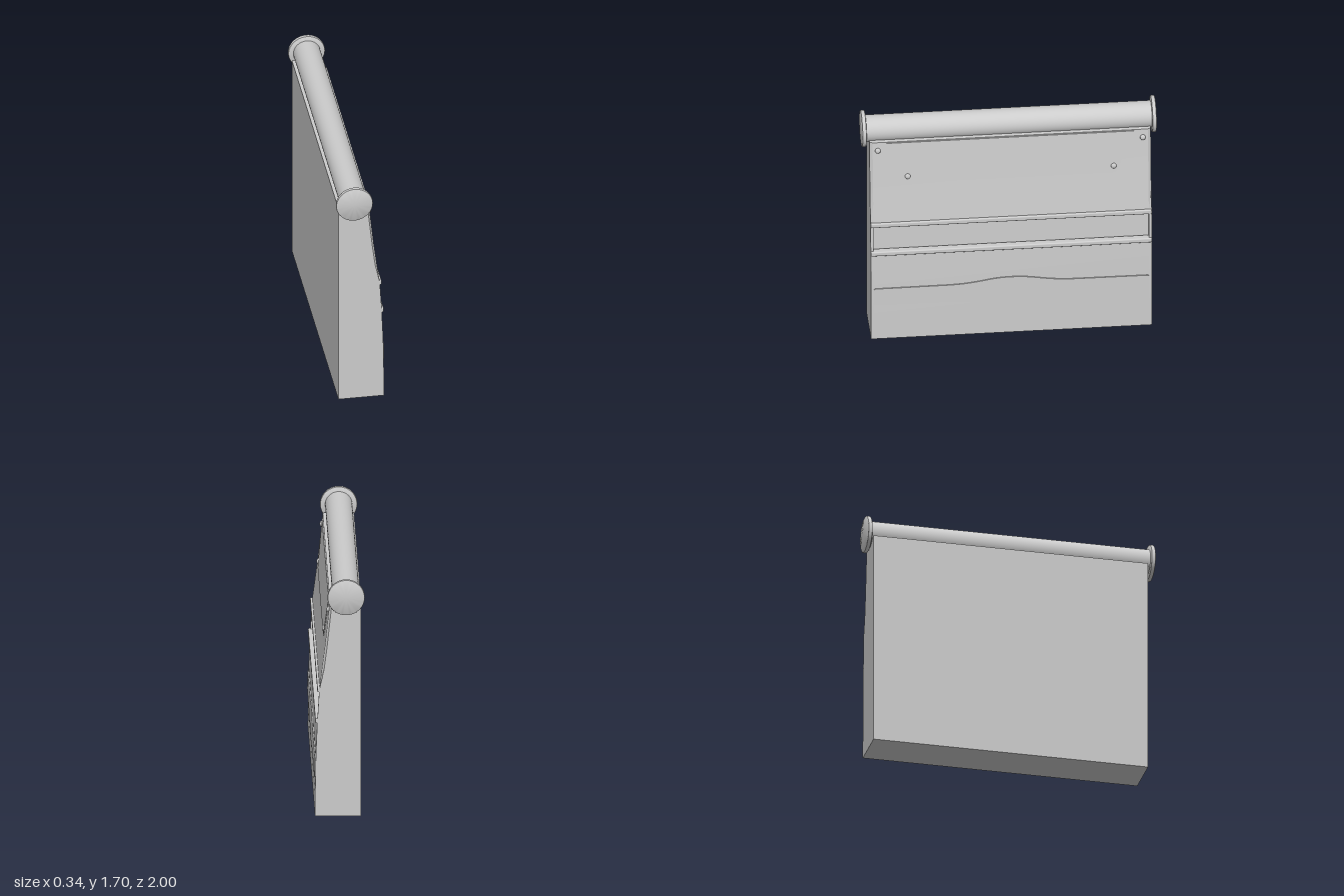
import * as THREE from 'three';
import { toCreasedNormals } from 'three/addons/utils/BufferGeometryUtils.js';
import { RoundedBoxGeometry } from 'three/addons/geometries/RoundedBoxGeometry.js';

// Curve of the front face, as [x, y] from bottom to top
const FRONT = [[0.163, 0], [0.162, 0.15], [0.157, 0.44], [0.147, 0.68], [0.134, 0.9],
  [0.115, 1.05], [0.096, 1.2], [0.062, 1.52]];
const BACK = -0.15, Z0 = -0.96, Z1 = 0.95, MID = (Z0 + Z1) / 2;

function frontX(y) {
  let i = 0;
  while (i < FRONT.length - 2 && y > FRONT[i + 1][1]) i++;
  const [xa, ya] = FRONT[i], [xb, yb] = FRONT[i + 1];
  return xa + (xb - xa) * (y - ya) / (yb - ya);
}

export function createModel() {
  const group = new THREE.Group();
  const material = new THREE.MeshStandardMaterial({ color: 0xcccccc, roughness: 0.7 });

  const add = (name, geometry, x = 0, y = 0, z = 0) => {
    const mesh = new THREE.Mesh(geometry, material);
    mesh.name = name;
    mesh.position.set(x, y, z);
    group.add(mesh);
    return mesh;
  };

  // Side profile of the case, with or without the pocket between the rails
  const profile = (pocket) => {
    const pts = [[BACK, 0], ...FRONT.slice(0, 4)];
    if (pocket) pts.push([0.105, 0.68], [0.095, 0.9]);
    pts.push(...FRONT.slice(4), [BACK, 1.52]);
    return new THREE.Shape(pts.map(([x, y]) => new THREE.Vector2(x, y)));
  };
  const slab = (name, za, zb, pocket, outer) => {
    const geo = new THREE.ExtrudeGeometry(profile(pocket), { depth: zb - za, bevelEnabled: false });
    geo.translate(0, 0, za);
    if (outer !== undefined) {
      // Ease the outer front edge of the upper half
      const p = geo.attributes.position;
      for (let i = 0; i < p.count; i++) {
        if (p.getX(i) > 0 && p.getY(i) > 0.95 && Math.abs(p.getZ(i) - outer) < 1e-4) {
          p.setX(i, p.getX(i) - 0.014);
        }
      }
    }
    add(name, toCreasedNormals(geo, 0.6));
  };
  slab('caseBody', Z0 + 0.02, Z1 - 0.02, true);
  slab('caseLeftCheek', Z1 - 0.02, Z1, false, Z1);
  slab('caseRightCheek', Z0, Z0 + 0.02, false, Z0);

  // Rounded rails above and below the pocket
  [['upperRail', 0.9, 0.147], ['lowerRail', 0.68, 0.161]].forEach(([name, y, x]) =>
    add(name, new RoundedBoxGeometry(0.05, 0.034, Z1 - Z0, 3, 0.008), x - 0.025, y, MID));

  // Thin plate that follows the slope of the front face
  const plate = (name, shape, thickness) => {
    const geo = new THREE.ExtrudeGeometry(shape, { depth: 1, bevelEnabled: false, curveSegments: 12 });
    const p = geo.attributes.position;
    for (let i = 0; i < p.count; i++) {
      const u = p.getX(i), y = p.getY(i), lift = p.getZ(i) > 0.5 ? thickness : -0.01;
      p.setXYZ(i, frontX(y) + lift, y, MID - u);
    }
    add(name, toCreasedNormals(geo, 0.6));
  };

  // Tapered flap hanging below the roller
  const flap = new THREE.Shape();
  flap.moveTo(-0.715, 1.21);
  flap.lineTo(0.715, 1.21);
  flap.lineTo(0.84, 1.515);
  flap.lineTo(-0.84, 1.515);
  plate('flap', flap, 0.007);

  // Long nameplate with a swollen middle and rounded ends
  const w = 0.935, r = 0.015;
  const band = new THREE.Shape();
  band.moveTo(-w + r, 0.27);
  band.lineTo(-0.42, 0.268);
  band.bezierCurveTo(-0.2, 0.264, -0.17, 0.228, 0, 0.228);
  band.bezierCurveTo(0.17, 0.228, 0.2, 0.264, 0.42, 0.268);
  band.lineTo(w - r, 0.27);
  band.quadraticCurveTo(w, 0.27, w, 0.27 + r);
  band.lineTo(w, 0.403 - r);
  band.quadraticCurveTo(w, 0.403, w - r, 0.403);
  band.lineTo(0.42, 0.405);
  band.bezierCurveTo(0.2, 0.41, 0.17, 0.446, 0, 0.446);
  band.bezierCurveTo(-0.17, 0.446, -0.2, 0.41, -0.42, 0.405);
  band.lineTo(-w + r, 0.403);
  band.quadraticCurveTo(-w, 0.403, -w, 0.403 - r);
  band.lineTo(-w, 0.27 + r);
  band.quadraticCurveTo(-w, 0.27, -w + r, 0.27);
  plate('nameplate', band, 0.007);

  // Domed rivets, mirrored left and right
  const dome = new THREE.LatheGeometry([[0.019, -0.01], [0.019, 0.006], [0.016, 0.011], [0.009, 0.014], [0, 0.015]]
    .map(([x, y]) => new THREE.Vector2(x, y)), 20);
  for (const s of [1, -1]) {
    for (const [name, y, z] of [['outerRivet', 1.46, 0.9], ['innerRivet', 1.26, 0.7]]) {
      add(name, dome, frontX(y) + (z < 0.8 ? 0.005 : 0), y, MID + s * z).rotation.z = -Math.PI / 2 + 0.11;
    }
  }

  // Roller along the top
  const cx = -0.047, cy = 1.57;
  add('roller', new THREE.CylinderGeometry(0.092, 0.092, 1.96, 48), cx, cy, 0).rotation.x = Math.PI / 2;

  // Round end caps with softened rims
  const cap = toCreasedNormals(new THREE.LatheGeometry([[0, -0.015], [0.119, -0.015], [0.124, -0.012], [0.126, -0.006],
    [0.126, 0.006], [0.124, 0.012], [0.119, 0.015], [0, 0.015]].map(([x, y]) => new THREE.Vector2(x, y)), 48), 0.7);
  for (const s of [1, -1]) {
    add(s > 0 ? 'leftEndCap' : 'rightEndCap', cap, cx, cy, s * 0.985).rotation.x = Math.PI / 2;
  }

  return group;
}
